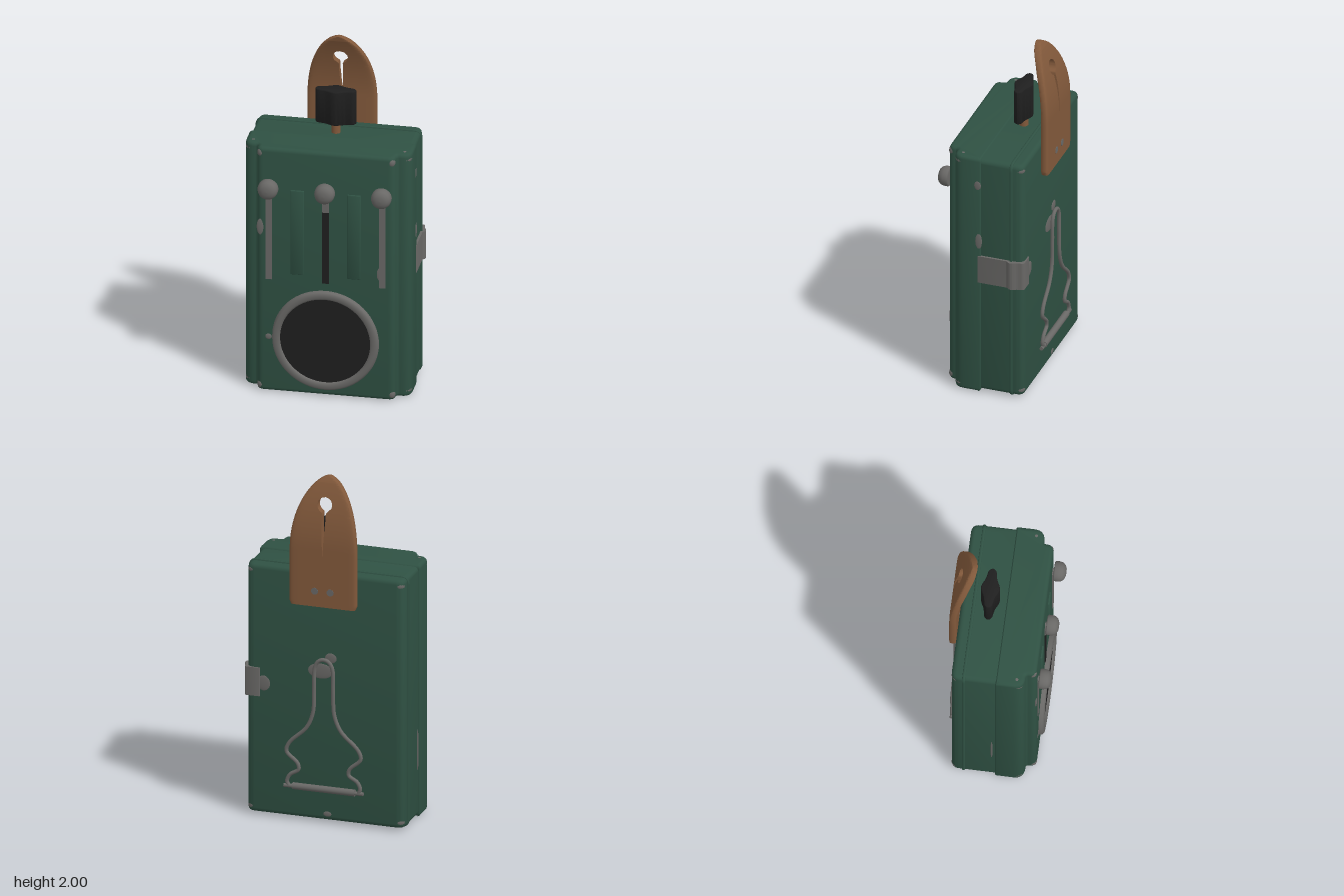
import * as THREE from 'three';
import { toCreasedNormals, mergeVertices } from 'three/addons/utils/BufferGeometryUtils.js';

const mat = (name, color) => {
  const m = new THREE.MeshStandardMaterial({ color });
  m.name = name;
  return m;
};

// Polygon outline with rounded corners; points are [x, y, radius]
function roundedShape(pts) {
  const s = new THREE.Shape();
  const v = pts.map(p => new THREE.Vector2(p[0], p[1]));
  pts.forEach((p, i) => {
    const prev = v[(i + v.length - 1) % v.length], next = v[(i + 1) % v.length];
    const a = prev.clone().sub(v[i]).setLength(p[2]).add(v[i]);
    const b = next.clone().sub(v[i]).setLength(p[2]).add(v[i]);
    if (i) s.lineTo(a.x, a.y); else s.moveTo(a.x, a.y);
    if (p[2] > 0) s.quadraticCurveTo(v[i].x, v[i].y, b.x, b.y);
  });
  s.closePath();
  return s;
}

// Extrude a shape with a rounded edge that stays inside the outline, from 0 to length
function extrude(shape, length, bevel) {
  const g = new THREE.ExtrudeGeometry(shape, {
    depth: length - 2 * bevel, bevelEnabled: bevel > 0, bevelThickness: bevel,
    bevelSize: bevel, bevelOffset: -bevel, bevelSegments: 4, curveSegments: 8
  });
  g.translate(0, 0, bevel);
  return toCreasedNormals(g, 0.6);
}

// Upright prism from a plan outline given as [x, z, radius]
function upright(plan, y0, y1, bevel) {
  const g = extrude(roundedShape(plan.map(([x, z, r]) => [x, -z, r])), y1 - y0, bevel);
  return g.rotateX(-Math.PI / 2).translate(0, y0, 0);
}

const mirrored = half => [...half, ...half.slice().reverse().map(([x, z, r]) => [-x, z, r])];

export function createModel() {
  const green = mat('green paint', 0x2f5143);
  const metal = mat('bare metal', 0x696866);
  const black = mat('black', 0x1f1f1f);
  const brown = mat('brown leather', 0x82593b);

  const model = new THREE.Group();
  model.name = 'flashlight';
  const add = (name, geo, material, x = 0, y = 0, z = 0, parent = model) => {
    const m = new THREE.Mesh(geo, material);
    m.name = name;
    m.position.set(x, y, z);
    parent.add(m);
    return m;
  };
  const C = -0.007; // centre line of the case

  // Case halves and rib
  add('frontCase', upright(mirrored([
    [0.465, 0, 0.008], [0.465, 0.16, 0.06], [0.386, 0.16, 0.015], [0.386, 0.217, 0.04]
  ]), 0, 1.47, 0.022), green, C);
  add('backCase', upright(mirrored([
    [0.455, -0.245, 0.045], [0.455, 0.06, 0.01]
  ]), 0.012, 1.458, 0.025), green, C);
  add('caseRib', extrude(roundedShape([
    [-0.465, 0.003, 0.05], [0.465, 0.003, 0.05], [0.465, 1.467, 0.05], [-0.465, 1.467, 0.05]
  ]), 0.018, 0.006), green, C, 0, -0.184);

  // Lens with metal rim
  const rim = new THREE.LatheGeometry([
    [0.25, 0], [0.252, 0.022], [0.262, 0.03], [0.283, 0.03], [0.294, 0.022], [0.298, 0]
  ].reverse().map(p => new THREE.Vector2(...p)), 64).rotateX(Math.PI / 2);
  const rimMesh = add('lensRim', rim, metal, C, 0.337, 0.215);
  rimMesh.material = metal;
  metal.side = THREE.DoubleSide;
  add('lens', new THREE.CylinderGeometry(0.255, 0.255, 0.015, 64).rotateX(Math.PI / 2), black, C, 0.337, 0.222);

  // Raised panels between the sliders
  for (const s of [-1, 1]) {
    const panel = extrude(roundedShape([
      [-0.038, 0.72, 0.005], [0.038, 0.72, 0.005], [0.038, 1.23, 0.005], [-0.038, 1.23, 0.005]
    ]), 0.02, 0.007);
    add('raisedPanel', panel, green, C + s * 0.158, 0, 0.206);
  }

  // Sliders with domed knobs
  const knob = new THREE.LatheGeometry([
    [0.001, 0], [0.05, 0], [0.056, 0.006], [0.056, 0.03], [0.051, 0.047], [0.039, 0.06], [0.02, 0.067], [0, 0.068]
  ].map(p => new THREE.Vector2(...p)), 32).rotateX(Math.PI / 2);
  for (const i of [-1, 0, 1]) {
    const slider = new THREE.Group();
    slider.name = 'slider';
    slider.position.set(C + i * 0.316, 0, 0);
    model.add(slider);
    const split = i === 0 ? 1.11 : 0.68;
    add('rail', new THREE.BoxGeometry(0.036, 1.22 - split, 0.008), metal, 0, (1.22 + split) / 2, 0.218, slider);
    if (i === 0) add('slot', new THREE.BoxGeometry(0.036, 0.43, 0.008), black, 0, 0.895, 0.218, slider);
    add('stem', new THREE.CylinderGeometry(0.016, 0.016, 0.03, 16).rotateX(Math.PI / 2), metal, 0, 1.237, 0.22, slider);
    add('knob', knob, metal, 0, 1.237, 0.226, slider);
  }

  // Top switch: post and wing-shaped grip
  add('switchPost', new THREE.CylinderGeometry(0.026, 0.026, 0.08, 20), brown, C, 1.49, -0.085);
  const grip = new THREE.Shape(new THREE.SplineCurve([
    [0.115, 0], [0.1, 0.021], [0.055, 0.031], [0, 0.052], [-0.055, 0.031], [-0.1, 0.021],
    [-0.115, 0], [-0.1, -0.021], [-0.055, -0.031], [0, -0.052], [0.055, -0.031], [0.1, -0.021], [0.115, 0]
  ].map(p => new THREE.Vector2(...p))).getPoints(60).slice(0, -1));
  add('switchGrip', extrude(grip, 0.205, 0.008).rotateX(-Math.PI / 2), black, C, 1.515, -0.085);

  // Leather strap: two mirrored halves around a keyhole slit, bent forward at the top
  const strapOuter = y => {
    if (y < 1.56) return 0.193 - (y < 1.29 ? (1.29 - y) * 0.4 : 0);
    return 0.193 * Math.pow(Math.max(0, 1 - Math.pow((y - 1.56) / 0.44, 2.3)), 0.6);
  };
  const strapInner = y => {
    const hole = Math.sqrt(Math.max(0, 0.042 ** 2 - (y - 1.853) ** 2));
    const slit = y > 1.56 && y < 1.853 ? 0.011 * Math.min(1, (y - 1.56) / 0.2) : 0;
    return Math.max(hole, slit);
  };
  for (const s of [-1, 1]) {
    const g = new THREE.BoxGeometry(1, 1, 1, 10, 110, 2);
    const p = g.attributes.position;
    for (let i = 0; i < p.count; i++) {
      const across = s * p.getX(i) + 0.5, t = p.getY(i) + 0.5;
      const y = 1.27 + 0.73 * Math.sin(t * Math.PI / 2);
      const inner = Math.min(strapInner(y), strapOuter(y)), u = 1 - (1 - across) ** 1.6;
      const edge = Math.sqrt(Math.max(0, 1 - Math.pow(u, 14)));
      const thick = 0.042 * (0.55 + 0.45 * edge) * (y > 1.97 ? 1 - (y - 1.97) * 10 : 1);
      const bend = -0.27 + (y > 1.6 ? 0.1 * ((y - 1.6) / 0.4) ** 2 : 0);
      p.setXYZ(i, s * (inner + (strapOuter(y) - inner) * u), y, bend + p.getZ(i) * thick);
    }
    g.deleteAttribute('normal');
    g.deleteAttribute('uv');
    add('strapHalf', toCreasedNormals(mergeVertices(g, 1e-5), 0.8), brown, C);
    add('strapRivet', new THREE.CylinderGeometry(0.02, 0.02, 0.05, 16).rotateX(Math.PI / 2), metal, C + s * 0.045, 1.36, -0.268);
  }

  // Wire clip on the back with its hinge bar
  const side = [[0.2, 0.2], [0.212, 0.225], [0.195, 0.265], [0.145, 0.3], [0.15, 0.335], [0.215, 0.4],
    [0.2, 0.45], [0.1, 0.55], [0.062, 0.64], [0.055, 0.78], [0.05, 0.91], [0.03, 0.945]];
  const path = [...side, [0, 0.956], ...side.slice().reverse().map(([x, y]) => [-x, y])];
  const wire = new THREE.CatmullRomCurve3(path.map(([x, y]) => new THREE.Vector3(x, y, -0.27)));
  add('clipWire', new THREE.TubeGeometry(wire, 140, 0.011, 10), metal, C);
  add('clipBar', new THREE.CylinderGeometry(0.019, 0.019, 0.36, 16).rotateZ(Math.PI / 2), metal, C, 0.2, -0.266);
  add('clipPin', new THREE.CylinderGeometry(0.011, 0.011, 0.46, 12).rotateZ(Math.PI / 2), metal, C, 0.2, -0.27);

  // Side latch wrapping to the back
  add('latch', upright([
    [0.445, 0.018, 0], [0.461, 0.018, 0.004], [0.461, -0.155, 0.01], [0.476, -0.17, 0.006], [0.476, -0.19, 0.008],
    [0.462, -0.215, 0.01], [0.458, -0.253, 0.015], [0.37, -0.253, 0.003], [0.37, -0.235, 0], [0.44, -0.235, 0]
  ], 0.692, 0.858, 0), metal);

  // Worn paint: shallow caps on the corners and small chips
  const wear = new THREE.SphereGeometry(1, 16, 12);
  const chip = (name, x, y, z, sx, sy, sz) => add(name, wear, metal, x, y, z).scale.set(sx, sy, sz);
  for (const s of [-1, 1]) for (const top of [0, 1]) {
    const y = d => (top ? 1.47 - d : d);
    chip('cornerWear', C + s * 0.422, y(0.036), 0.115, 0.042, 0.037, 0.042);
    chip('panelCornerWear', C + s * 0.362, y(0.033), 0.193, 0.023, 0.03, 0.025);
    chip('backCornerWear', C + s * 0.421, y(0.046), -0.212, 0.033, 0.034, 0.033);
  }
  const chips = [
    [-0.37, 0.99, 0.213, 0.022, 0.05, 0.006], [-0.325, 0.33, 0.215, 0.02, 0.018, 0.005],
    [0.295, 0.76, 0.215, 0.02, 0.045, 0.004], [0.456, 0.95, 0.012, 0.005, 0.05, 0.02],
    [0.456, 1.3, 0.018, 0.005, 0.03, 0.02], [0.02, 0.88, -0.244, 0.075, 0.045, 0.005],
    [-0.04, 0.96, -0.244, 0.035, 0.03, 0.005], [0.35, 0.77, -0.244, 0.04, 0.045, 0.005],
    [0, 0.002, 0.08, 0.06, 0.005, 0.03], [-0.02, 0.05, -0.244, 0.025, 0.015, 0.004],
    [-0.465, 0.4, -0.02, 0.006, 0.12, 0.006]
  ];
  chips.forEach(c => chip('paintChip', ...c));

  return model;
}
